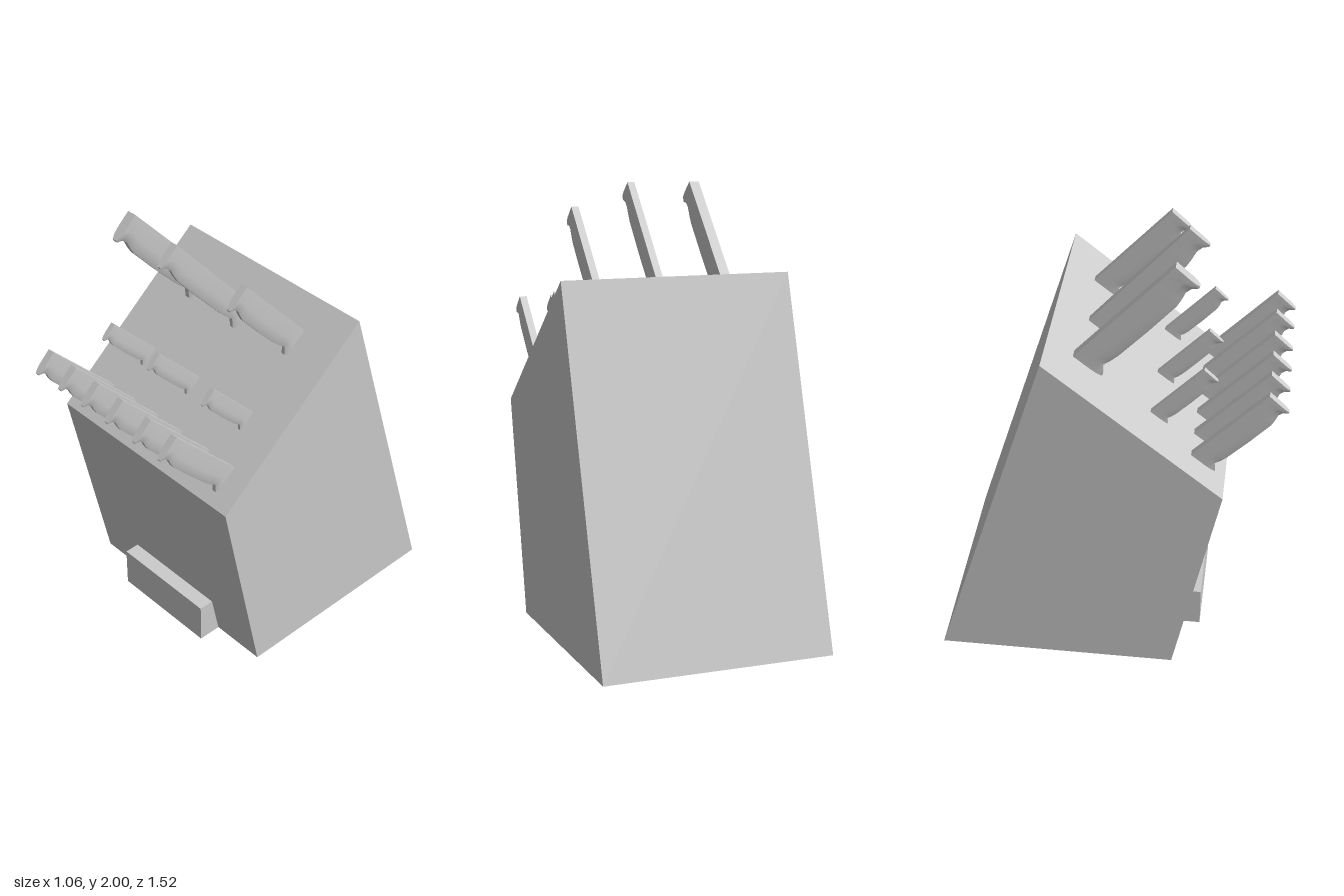
import * as THREE from 'three';
import { toCreasedNormals } from 'three/addons/utils/BufferGeometryUtils.js';

const material = new THREE.MeshStandardMaterial({ color: 0xcccccc });

// Handle outline: [position along the handle, depth of the grip edge], as fractions
const STATIONS = [
  [-0.08, 1.14], [0.03, 1.14], [0.09, 0.9], [0.15, 0.96], [0.22, 1], [0.5, 1.02],
  [0.78, 1], [0.84, 0.94], [0.9, 0.85], [0.95, 0.88], [0.985, 1.03], [1, 1],
];

// Cross-section: [half-width factor, depth fraction], narrowing towards the grip edge
const HALF = [[1, 0], [1, 0.6], [0.85, 0.85], [0.5, 1]];
const SECTION = [...HALF, ...HALF.map(([w, t]) => [-w, t]).reverse()];

// Handle lofted from its entry point [z, y] in the block to its top end [z, y]
function handleGeometry(from, to, depth, width) {
  const dz = to[0] - from[0], dy = to[1] - from[1], length = Math.hypot(dz, dy);
  const nz = dy / length, ny = -dz / length;
  const positions = [], index = [], n = SECTION.length;
  for (const [u, v] of STATIONS) {
    for (const [w, t] of SECTION) {
      const d = t * v * depth;
      positions.push(w * width / 2, from[1] + dy * u + ny * d, from[0] + dz * u + nz * d);
    }
  }
  for (let s = 0; s < STATIONS.length - 1; s++) {
    for (let i = 0; i < n; i++) {
      const a = s * n + i, b = s * n + (i + 1) % n;
      index.push(a, a + n, b, b, a + n, b + n);
    }
  }
  const last = (STATIONS.length - 1) * n;
  for (let i = 1; i < n - 1; i++) {
    index.push(0, i, i + 1, last, last + i + 1, last + i);
  }
  const geometry = new THREE.BufferGeometry();
  geometry.setAttribute('position', new THREE.Float32BufferAttribute(positions, 3));
  geometry.setIndex(index);
  return toCreasedNormals(geometry, 0.5);
}

function addHandles(parent, name, xs, from, to, depth, width) {
  const geometry = handleGeometry(from, to, depth, width);
  xs.forEach((x, i) => {
    const mesh = new THREE.Mesh(geometry, material);
    mesh.name = xs.length > 1 ? name + (i + 1) : name;
    mesh.position.x = x;
    parent.add(mesh);
  });
}

export function createModel() {
  const model = new THREE.Group();
  model.name = 'knifeBlock';

  // Leaning block: side profile swept across the width
  const width = 1.06;
  const profile = new THREE.Shape(
    [[-0.31, 0], [0.76, 0], [0.26, 1.62], [-0.51, 0.99]].map(([x, y]) => new THREE.Vector2(x, y)),
  );
  const blockGeometry = new THREE.ExtrudeGeometry(profile, { depth: width, bevelEnabled: false });
  blockGeometry.translate(0, 0, -width / 2).rotateY(Math.PI / 2);
  const block = new THREE.Mesh(blockGeometry, material);
  block.name = 'block';
  model.add(block);

  // Foot that props up the front
  const foot = new THREE.Mesh(new THREE.BoxGeometry(0.53, 0.195, 0.16), material);
  foot.name = 'frontFoot';
  foot.position.set(0, 0.0975, 0.34);
  model.add(foot);

  // Knife handles, in three rows
  const handles = new THREE.Group();
  handles.name = 'knifeHandles';
  model.add(handles);
  addHandles(handles, 'steakKnifeHandle', [-0.38, -0.227, -0.075, 0.08, 0.255, 0.41],
    [0.36, 1.11], [0.68, 1.45], 0.115, 0.034);
  addHandles(handles, 'paringKnifeHandle', [-0.3, -0.005, 0.335],
    [0.175, 1.262], [0.4, 1.5], 0.083, 0.024);
  addHandles(handles, 'chefKnifeHandle', [-0.3], [-0.155, 1.53], [0.27, 2], 0.134, 0.047);
  addHandles(handles, 'breadKnifeHandle', [0.002], [-0.13, 1.51], [0.3, 2], 0.115, 0.034);
  addHandles(handles, 'carvingKnifeHandle', [0.308], [-0.143, 1.525], [0.2, 1.9], 0.118, 0.034);

  return model;
}
